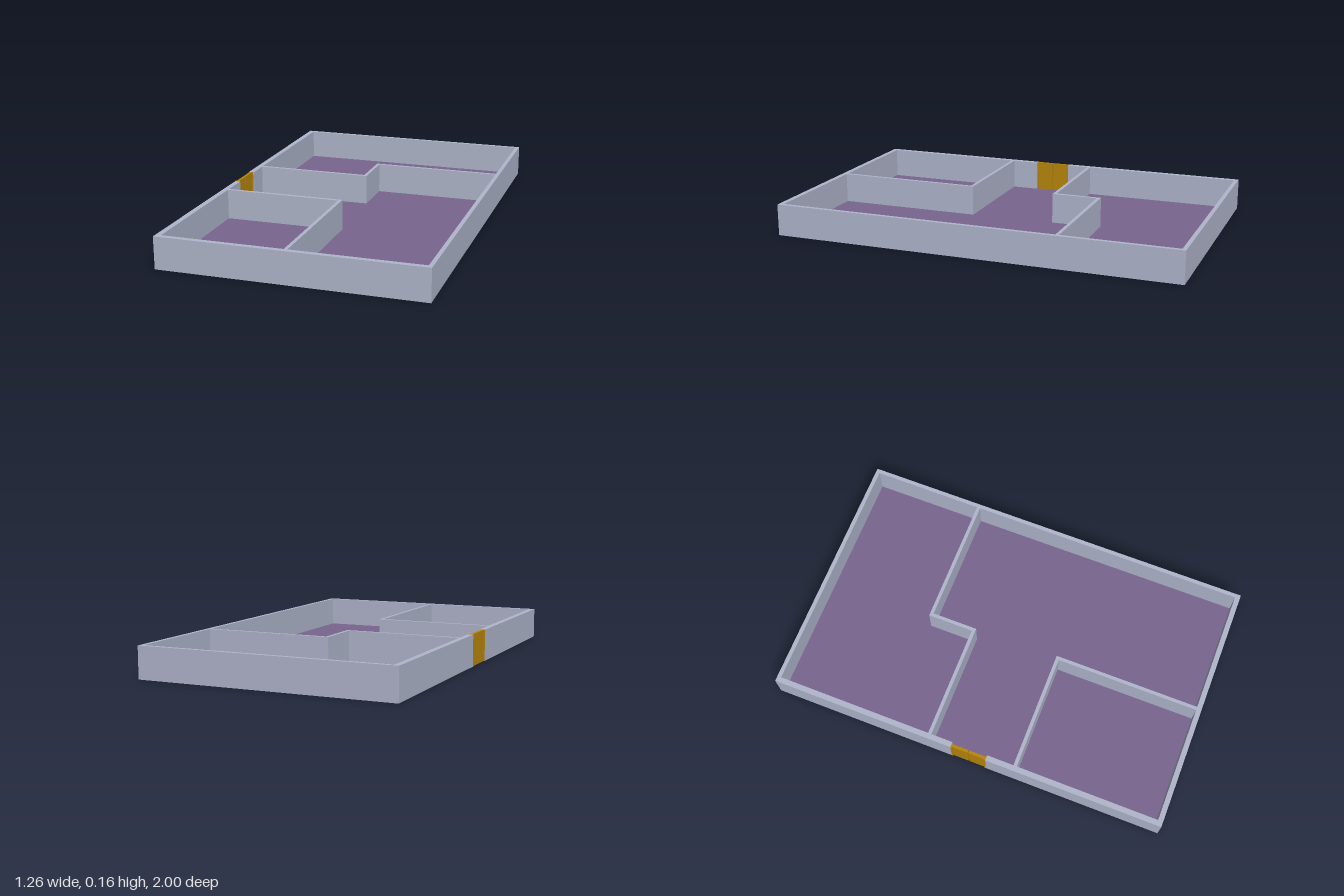
import * as THREE from 'three';

const HEIGHT = 0.155;

export function createModel() {
  const model = new THREE.Group();
  model.name = 'floorPlan';

  const material = (name, color) => {
    const m = new THREE.MeshStandardMaterial({ color });
    m.name = name;
    return m;
  };
  const wallPaint = material('wallPaint', 0xb0b6cc);
  const floorPurple = material('floorPurple', 0x78648f);
  const doorGold = material('doorGold', 0xb8860b);

  // Box given by its limits on each axis
  const box = (parent, name, mat, x0, x1, z0, z1, y0 = 0, y1 = HEIGHT) => {
    const mesh = new THREE.Mesh(new THREE.BoxGeometry(x1 - x0, y1 - y0, z1 - z0), mat);
    mesh.position.set((x0 + x1) / 2, (y0 + y1) / 2, (z0 + z1) / 2);
    mesh.name = name;
    parent.add(mesh);
  };

  // Floor slab, just above the foot of the walls
  box(model, 'floor', floorPurple, -0.615, 0.615, -0.985, 0.985, 0.002, 0.006);

  // Outer walls, with a door opening on the right side
  const outer = new THREE.Group();
  outer.name = 'outerWalls';
  model.add(outer);
  box(outer, 'backWall', wallPaint, -0.63, 0.63, -1, -0.98);
  box(outer, 'frontWall', wallPaint, -0.63, 0.63, 0.975, 1);
  box(outer, 'leftWall', wallPaint, 0.61, 0.63, -0.98, 0.975);
  box(outer, 'rightWallBack', wallPaint, -0.63, -0.603, -0.98, -0.07);
  box(outer, 'rightWallFront', wallPaint, -0.63, -0.603, 0.11, 0.975);

  // Inner partitions, butted end to end
  const inner = new THREE.Group();
  inner.name = 'innerWalls';
  model.add(inner);
  box(inner, 'backRoomWallRight', wallPaint, -0.603, -0.02, -0.197, -0.18);
  box(inner, 'backRoomWallStep', wallPaint, -0.037, -0.02, -0.41, -0.197);
  box(inner, 'backRoomWallLeft', wallPaint, -0.037, 0.61, -0.427, -0.41);
  box(inner, 'frontRoomWallBack', wallPaint, -0.603, -0.008, 0.245, 0.262);
  box(inner, 'frontRoomWallSide', wallPaint, -0.025, -0.008, 0.262, 0.975);

  // Double door: a post and a leaf on each side of the centre
  const door = new THREE.Group();
  door.name = 'doubleDoor';
  door.position.z = 0.02;
  model.add(door);
  for (const side of [-1, 1]) {
    const span = (a, b) => (side > 0 ? [a, b] : [-b, -a]);
    box(door, 'doorPost', doorGold, -0.63, -0.608, ...span(0.082, 0.09));
    box(door, 'doorLeaf', doorGold, -0.626, -0.612, ...span(0.002, 0.082));
  }

  return model;
}
